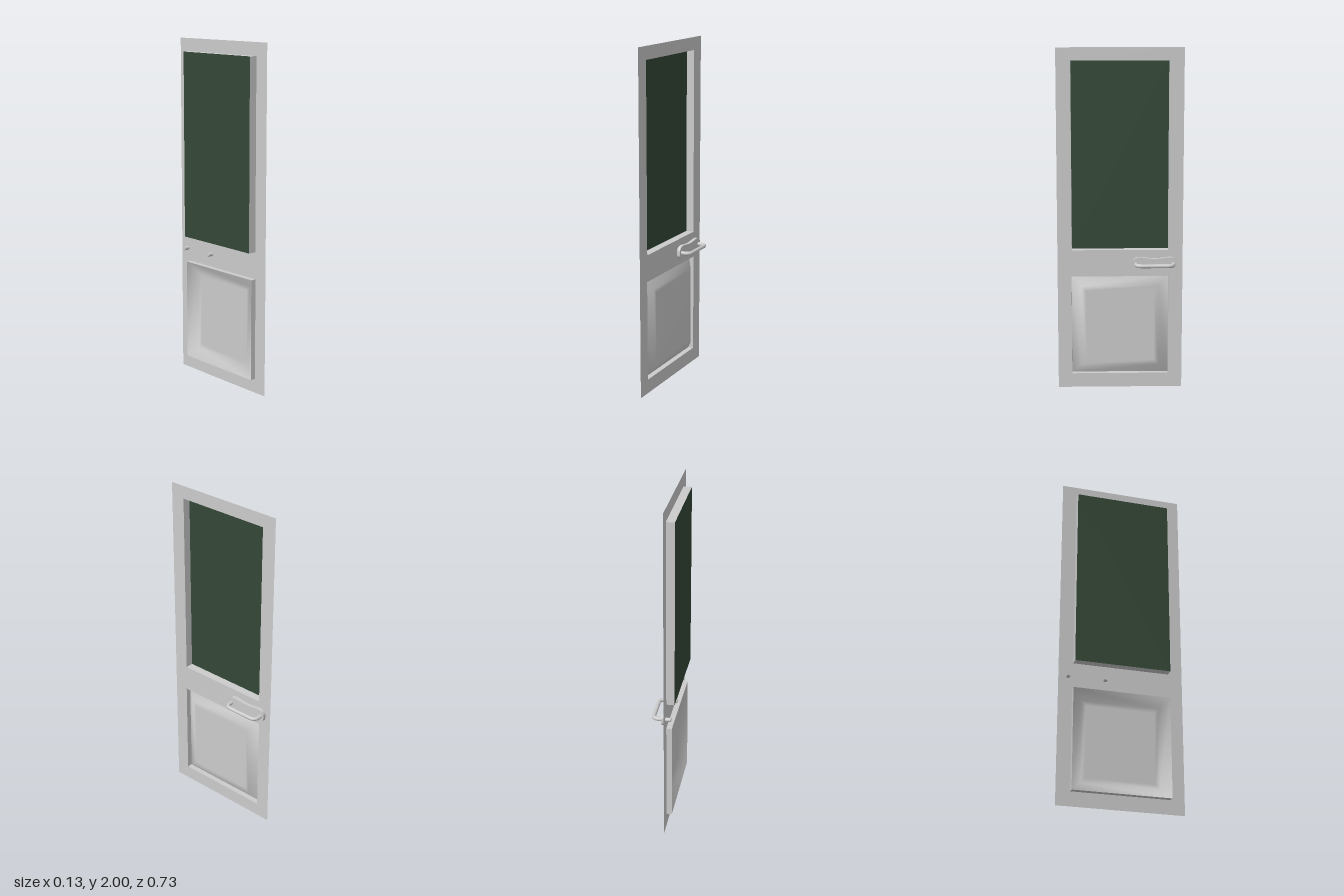
import * as THREE from 'three';
import { toCreasedNormals } from 'three/addons/utils/BufferGeometryUtils.js';

const grey = new THREE.MeshStandardMaterial({ color: 0xcccccc });
const sheet = new THREE.MeshStandardMaterial({ color: 0xcccccc, side: THREE.DoubleSide });
const glass = new THREE.MeshStandardMaterial({ color: 0x344837, side: THREE.DoubleSide });

const FACE = -0.018; // x of the door's face
const WINDOW = { z: 0.281, y0: 0.833, y1: 1.925 };
const PANEL = { z: 0.284, y0: 0.084, y1: 0.676 };

// Rectangular ring facing +x, inset from an opening
function ring({ z, y0, y1 }, x, inset = 0) {
  const a = z - inset, b = y0 + inset, t = y1 - inset;
  return [[x, b, a], [x, b, -a], [x, t, -a], [x, t, a]];
}

// Joins four-cornered rings into one surface, closing the last if asked
function loft(rings, cap = false) {
  const index = [];
  for (let r = 0; r < rings.length - 1; r++) {
    for (let i = 0; i < 4; i++) {
      const a = r * 4 + i, b = r * 4 + (i + 1) % 4;
      index.push(a, b, b + 4, a, b + 4, a + 4);
    }
  }
  if (cap) {
    const n = (rings.length - 1) * 4;
    index.push(n, n + 1, n + 2, n, n + 2, n + 3);
  }
  const g = new THREE.BufferGeometry();
  g.setAttribute('position', new THREE.Float32BufferAttribute(rings.flat(2), 3));
  g.setIndex(index);
  g.computeVertexNormals();
  return g;
}

function rectPath({ z, y0, y1 }, PathType) {
  const p = new PathType();
  p.moveTo(-z, y0).lineTo(z, y0).lineTo(z, y1).lineTo(-z, y1).closePath();
  return p;
}

export function createModel() {
  const door = new THREE.Group();
  door.name = 'door';
  const add = (name, geometry, material, parent = door) => {
    const m = new THREE.Mesh(geometry, material);
    m.name = name;
    parent.add(m);
    return m;
  };

  // Thin door face with two openings, turned to face +x
  const face = rectPath({ z: 0.365, y0: 0, y1: 2 }, THREE.Shape);
  face.holes.push(rectPath(WINDOW, THREE.Path), rectPath(PANEL, THREE.Path));
  add('doorFace', new THREE.ShapeGeometry(face).rotateY(Math.PI / 2).translate(FACE, 0, 0), sheet);

  // Recess walls behind each opening
  const walls = (o, depth) => toCreasedNormals(loft([ring(o, FACE), ring(o, depth)]), 0.5);
  add('windowRecess', walls(WINDOW, -0.066), sheet);
  add('panelRecess', walls(PANEL, -0.05), sheet);

  // Window pane at the back of its recess
  add('windowPane', loft([ring(WINDOW, -0.066)], true), glass);

  // Raised lower panel with softly shaded sloping borders
  add('raisedPanel', loft([
    ring(PANEL, -0.05), ring(PANEL, -0.007, 0.058), ring(PANEL, -0.0065, 0.085),
  ], true), sheet);

  // Handle: backplate with rounded, slightly wider ends
  const handle = new THREE.Group();
  handle.name = 'handle';
  handle.position.set(0, 0.752, -0.201);
  door.add(handle);

  const plate = new THREE.Shape();
  plate.moveTo(0, -0.032);
  plate.bezierCurveTo(0.04, -0.032, 0.06, -0.04, 0.09, -0.04);
  plate.bezierCurveTo(0.118, -0.04, 0.13, -0.025, 0.13, 0);
  plate.bezierCurveTo(0.13, 0.025, 0.118, 0.04, 0.09, 0.04);
  plate.bezierCurveTo(0.06, 0.04, 0.04, 0.032, 0, 0.032);
  plate.bezierCurveTo(-0.04, 0.032, -0.06, 0.04, -0.09, 0.04);
  plate.bezierCurveTo(-0.118, 0.04, -0.13, 0.025, -0.13, 0);
  plate.bezierCurveTo(-0.13, -0.025, -0.118, -0.04, -0.09, -0.04);
  plate.bezierCurveTo(-0.06, -0.04, -0.04, -0.032, 0, -0.032);
  const plateGeo = new THREE.ExtrudeGeometry(plate, { depth: 0.02, bevelEnabled: false, curveSegments: 8 });
  add('backplate', toCreasedNormals(plateGeo.rotateY(Math.PI / 2).translate(FACE, 0, 0), 0.7), grey, handle);

  // Handle: bent bar whose ends pass through the door
  const V = (x, z) => new THREE.Vector3(x, 0, z);
  const OUT = 0.053, END = 0.108, BEND = 0.036;
  const path = new THREE.CurvePath();
  path.add(new THREE.LineCurve3(V(-0.05, -END), V(OUT - BEND, -END)));
  path.add(new THREE.QuadraticBezierCurve3(V(OUT - BEND, -END), V(OUT, -END), V(OUT, BEND - END)));
  path.add(new THREE.LineCurve3(V(OUT, BEND - END), V(OUT, END - BEND)));
  path.add(new THREE.QuadraticBezierCurve3(V(OUT, END - BEND), V(OUT, END), V(OUT - BEND, END)));
  path.add(new THREE.LineCurve3(V(OUT - BEND, END), V(-0.05, END)));
  add('gripBar', new THREE.TubeGeometry(path, 60, 0.0115, 14, false), grey, handle);

  // Round caps on the bar's inner ends
  for (const side of [-1, 1]) {
    const cap = new THREE.CircleGeometry(0.0115, 14).rotateY(-Math.PI / 2);
    add('gripBarEnd', cap, grey, handle).position.set(-0.05, 0, side * END);
  }

  return door;
}
